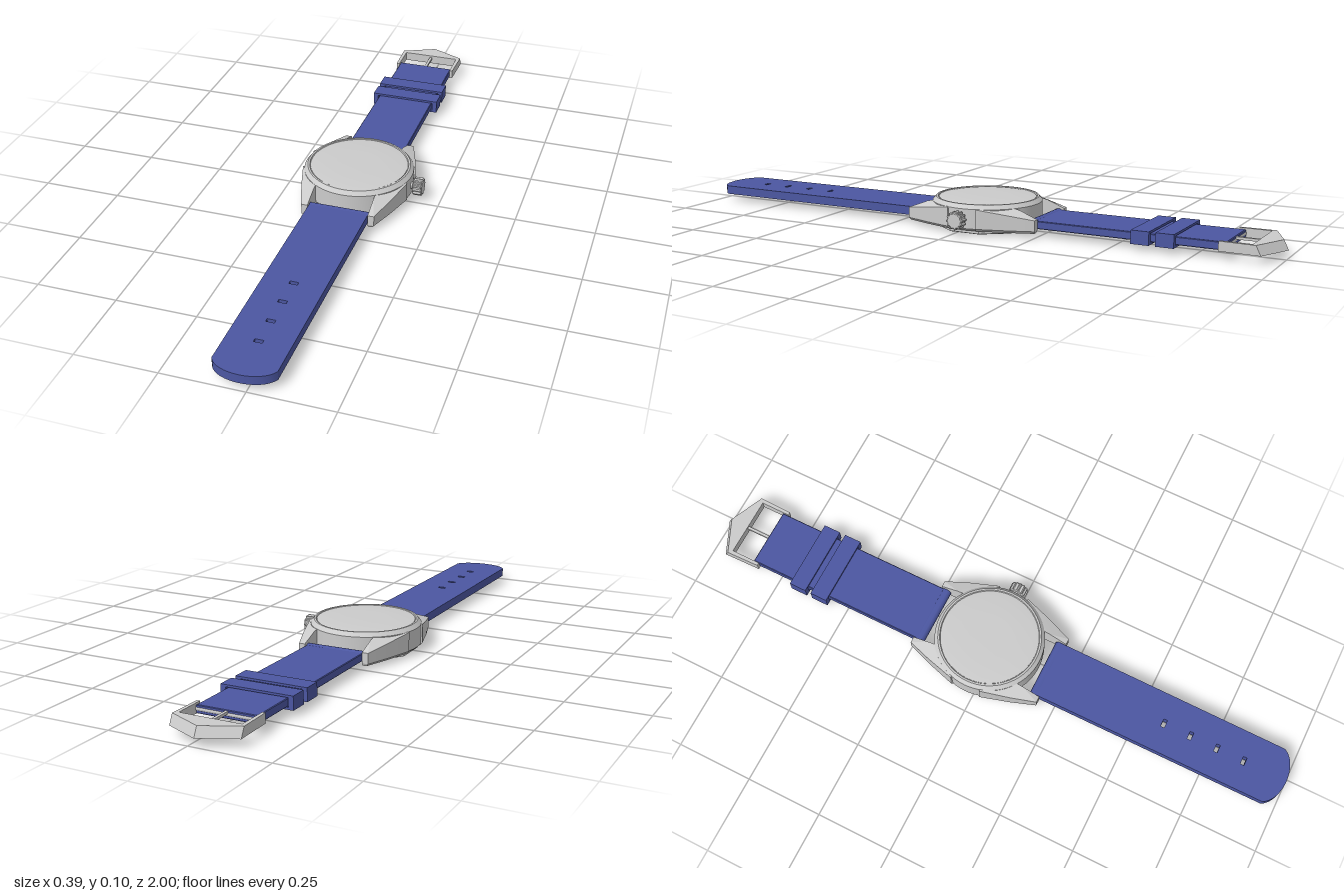
import * as THREE from 'three';
import { toCreasedNormals } from 'three/addons/utils/BufferGeometryUtils.js';
import { ConvexGeometry } from 'three/addons/geometries/ConvexGeometry.js';

const CX = -0.02, CZ = -0.026;
const steel = new THREE.MeshStandardMaterial({ color: 0xcccccc });
const blue = new THREE.MeshStandardMaterial({ color: 0x4c57a2 });

export function createModel() {
  const watch = new THREE.Group();
  watch.name = 'wristwatch';

  const add = (name, geo, mat, x = 0, y = 0, z = 0, crease = 0.5) => {
    const mesh = new THREE.Mesh(toCreasedNormals(geo, crease), mat);
    mesh.name = name;
    mesh.position.set(x, y, z);
    watch.add(mesh);
    return mesh;
  };
  const v2 = pts => pts.map(([x, y]) => new THREE.Vector2(x, y));
  const lathe = (pts, n) => new THREE.LatheGeometry(v2(pts), n);
  // Extrudes an x/z outline downwards from y = 0
  const slab = (shape, depth, bevel = 0) => new THREE.ExtrudeGeometry(shape, {
    depth: depth - 2 * bevel, bevelEnabled: bevel > 0, bevelSize: bevel,
    bevelThickness: bevel, bevelOffset: -bevel, bevelSegments: 1, curveSegments: 16,
  }).rotateX(Math.PI / 2).translate(0, -bevel, 0);

  // Case, crystal and ten-sided back cover
  add('case', lathe([[0, 0.013], [0.168, 0.013], [0.176, 0.02], [0.176, 0.082],
    [0.165, 0.095], [0.159, 0.095], [0.157, 0.091], [0, 0.091]], 64), steel, CX, 0, CZ, 0.3);
  add('crystal', lathe([[0.156, 0.088], [0.156, 0.093], [0.14, 0.095], [0.07, 0.0965], [0, 0.097]], 64),
    steel, CX, 0, CZ, 0.3);
  add('backCover', lathe([[0, 0.006], [0.134, 0.006], [0.141, 0], [0.157, 0],
    [0.165, 0.003], [0.165, 0.015]], 10), steel, CX, 0, CZ, 0.1);

  // Four lugs with sloping tops, and the spring bars between them
  const lugPlan = [[0.098, 0.224, 0.055], [0.118, 0.224, 0.055], [0.174, 0.05, 0.082],
    [0.15, 0.05, 0.085], [0.098, 0.13, 0.085], [0.098, 0.165, 0.078], [0.146, 0.145, 0.068]];
  for (const sz of [1, -1]) {
    for (const sx of [1, -1]) {
      const pts = lugPlan.flatMap(([x, z, top]) => [
        new THREE.Vector3(sx * x, top, sz * z),
        new THREE.Vector3(sx * x, 0.021, sz * z),
        new THREE.Vector3(sx * (x - (x > 0.1 ? 0.006 : 0)), 0.013, sz * (z - 0.004))]);
      add('lug', new ConvexGeometry(pts), steel, CX, 0, CZ, 0.2);
    }
    add('springBar', new THREE.CylinderGeometry(0.007, 0.007, 0.2, 12).rotateZ(Math.PI / 2),
      steel, CX, 0.037, CZ + sz * 0.205);
    // Thickened strap end wrapped around the bar
    add('strapEnd', new THREE.CylinderGeometry(0.0165, 0.0165, 0.192, 16).rotateZ(Math.PI / 2),
      blue, CX, 0.037, CZ + sz * 0.206);
  }

  // Fluted crown on its stem
  const flutes = [];
  for (let i = 0; i < 48; i++) {
    const a = i / 48 * Math.PI * 2, r = i % 4 < 2 ? 0.029 : 0.025;
    flutes.push([r * Math.cos(a), r * Math.sin(a)]);
  }
  add('crown', new THREE.ExtrudeGeometry(new THREE.Shape(v2(flutes)), {
    depth: 0.025, bevelSize: 0.003, bevelThickness: 0.003, bevelOffset: -0.003, bevelSegments: 1,
  }).rotateY(Math.PI / 2), steel, 0.167, 0.049, CZ + 0.004);
  add('crownStem', new THREE.CylinderGeometry(0.011, 0.011, 0.03, 16).rotateZ(Math.PI / 2),
    steel, 0.155, 0.049, CZ + 0.004);

  // Long strap with rounded end and adjustment holes
  const w = 0.096;
  const long = new THREE.Shape();
  long.moveTo(-w, 0.18);
  long.lineTo(w, 0.18);
  long.lineTo(w - 0.003, 0.955);
  long.bezierCurveTo(w - 0.03, 1.012, -w + 0.03, 1.012, -w + 0.003, 0.955);
  long.closePath();
  for (let i = 0; i < 4; i++) {
    const z = 0.585 + i * 0.09;
    long.holes.push(new THREE.Path(v2([[-0.013, z - 0.006], [-0.013, z + 0.006],
      [0.013, z + 0.006], [0.013, z - 0.006]])));
  }
  add('longStrap', slab(long, 0.028), blue, CX, 0.052, 0);

  // Short strap with two keeper loops
  const short = new THREE.Shape(v2([[-w, -0.845], [w, -0.845], [w, -0.232], [-w, -0.232]]));
  add('shortStrap', slab(short, 0.025, 0.002), blue, CX, 0.05, 0);
  for (const z of [-0.667, -0.59]) {
    const band = new THREE.Shape(v2([[-0.116, -0.021], [0.116, -0.021], [0.116, 0.021], [-0.116, 0.021]]));
    band.holes.push(new THREE.Path(v2([[-0.1, -0.014], [-0.1, 0.014], [0.1, 0.014], [0.1, -0.014]])));
    add('keeperLoop', new THREE.ExtrudeGeometry(band, { depth: 0.057, bevelEnabled: false }),
      blue, CX, 0.039, z - 0.0285);
  }

  // Pointed buckle frame; the top edge of the nose is sloped back
  const frame = new THREE.Shape(v2([[0, -1], [0.11, -0.95], [0.107, -0.825], [0.097, -0.825],
    [0.097, -0.923], [-0.097, -0.923], [-0.097, -0.825], [-0.107, -0.825], [-0.11, -0.95]]));
  const frameGeo = slab(frame, 0.03);
  const p = frameGeo.attributes.position;
  for (let i = 0; i < p.count; i++) {
    if (p.getZ(i) < -0.94 && p.getY(i) > -0.01) p.setZ(i, p.getZ(i) + 0.015);
  }
  add('buckleFrame', frameGeo, steel, CX, 0.054, 0, 0.2);
  add('buckleBar', new THREE.CylinderGeometry(0.007, 0.007, 0.2, 12).rotateZ(Math.PI / 2),
    steel, CX, 0.038, -0.84);
  add('buckleTongue', new THREE.BoxGeometry(0.009, 0.008, 0.1), steel, CX, 0.044, -0.885);

  return watch;
}
